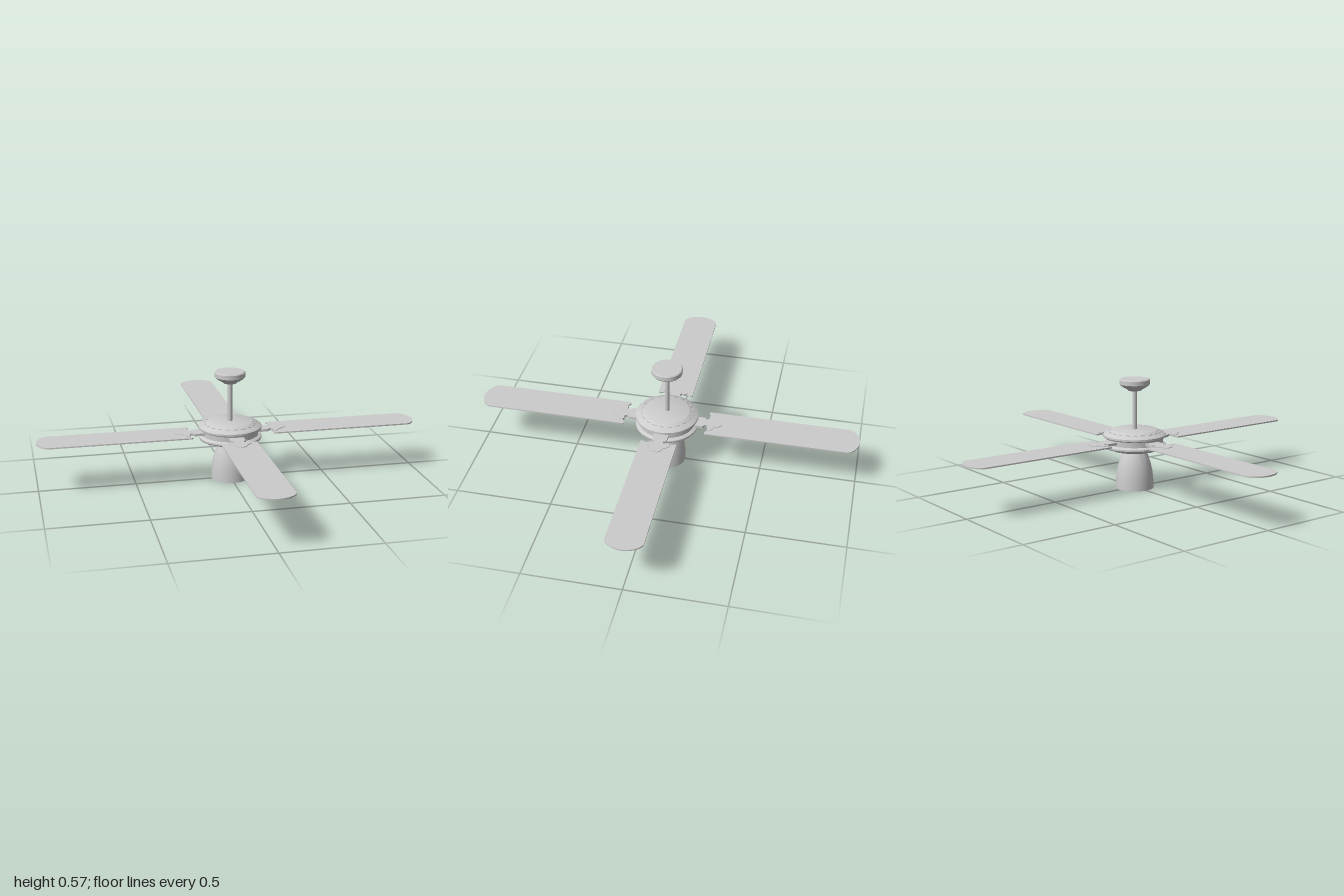
import * as THREE from 'three';
import { toCreasedNormals } from 'three/addons/utils/BufferGeometryUtils.js';

const grey = new THREE.MeshStandardMaterial({ color: 0xcccccc });
const greyDouble = new THREE.MeshStandardMaterial({ color: 0xcccccc, side: THREE.DoubleSide });

function part(name, geometry, material = grey) {
  const mesh = new THREE.Mesh(geometry, material);
  mesh.name = name;
  return mesh;
}

// Turned part from [radius, y] pairs, listed bottom to top
function turned(name, profile, segments = 48, material = grey) {
  const points = profile.map(([r, y]) => new THREE.Vector2(r, y));
  return part(name, toCreasedNormals(new THREE.LatheGeometry(points, segments), 0.5), material);
}

// Flat plate lying in the xz plane, from y to y + thickness
function plate(name, shape, y, thickness) {
  const geometry = new THREE.ExtrudeGeometry(shape, { depth: thickness, bevelEnabled: false, curveSegments: 10 });
  geometry.rotateX(-Math.PI / 2).translate(0, y, 0);
  return part(name, toCreasedNormals(geometry, 0.5));
}

// Blade outline with a bowed tip and a shallow V at the root
function bladeShape() {
  const s = new THREE.Shape();
  s.moveTo(0.232, -0.045);
  s.lineTo(0.212, -0.08);
  s.quadraticCurveTo(0.208, -0.093, 0.222, -0.093);
  s.lineTo(0.945, -0.093);
  s.bezierCurveTo(0.975, -0.085, 1, -0.04, 1, 0);
  s.bezierCurveTo(1, 0.04, 0.975, 0.085, 0.945, 0.093);
  s.lineTo(0.222, 0.093);
  s.quadraticCurveTo(0.208, 0.093, 0.212, 0.08);
  s.lineTo(0.232, 0.045);
  s.closePath();
  return s;
}

// Blade iron: straight neck, waist and a pointed spade head
function ironShape() {
  const half = [[0.13, 0.038], [0.195, 0.038], [0.202, 0.026], [0.212, 0.024], [0.22, 0.034],
    [0.218, 0.05], [0.226, 0.062], [0.24, 0.06], [0.256, 0.036], [0.282, 0.022], [0.29, 0.01]];
  const mirrored = half.map(([x, z]) => [x, -z]).reverse();
  return new THREE.Shape([...mirrored, ...half].map(([x, z]) => new THREE.Vector2(x, z)));
}

// Spiral lamp tube
function spiralCurve(turns, radius, bottom, top) {
  const points = [];
  for (let i = 0; i <= turns * 12; i++) {
    const t = i / (turns * 12);
    const a = t * turns * Math.PI * 2;
    const r = radius * (0.55 + 0.45 * Math.min(1, t * 3));
    points.push(new THREE.Vector3(Math.cos(a) * r, bottom + (top - bottom) * t, Math.sin(a) * r));
  }
  return new THREE.CatmullRomCurve3(points);
}

export function createModel() {
  const fan = new THREE.Group();
  fan.name = 'ceilingFan';

  // Ceiling canopy and down rod
  fan.add(turned('canopy', [[0, 0.514], [0.034, 0.514], [0.042, 0.522], [0.058, 0.53], [0.072, 0.54],
    [0.079, 0.548], [0.079, 0.57], [0.075, 0.575], [0, 0.575]]));
  const rod = part('downRod', new THREE.CylinderGeometry(0.012, 0.012, 0.24, 24));
  rod.position.y = 0.41;
  fan.add(rod);

  // Motor housing with a recessed band where the irons enter
  fan.add(turned('motorHousing', [[0, 0.2], [0.105, 0.2], [0.125, 0.205], [0.14, 0.213], [0.16, 0.218],
    [0.164, 0.224], [0.164, 0.232], [0.158, 0.237], [0.147, 0.24], [0.147, 0.268], [0.158, 0.27],
    [0.164, 0.275], [0.164, 0.285], [0.156, 0.292], [0.13, 0.3], [0.122, 0.308], [0.115, 0.311],
    [0, 0.311]], 64));

  // Ring of small vents around the top of the housing
  const vents = new THREE.Group();
  vents.name = 'vents';
  for (let i = 0; i < 20; i++) {
    const a = (i / 20) * Math.PI * 2;
    const vent = part('vent', new THREE.BoxGeometry(0.005, 0.004, 0.022));
    vent.position.set(Math.cos(a) * 0.132, 0.3, Math.sin(a) * 0.132);
    vent.rotation.y = -a;
    vents.add(vent);
  }
  fan.add(vents);

  // Four blades with their irons
  for (let i = 0; i < 4; i++) {
    const arm = new THREE.Group();
    arm.name = 'bladeArm';
    arm.add(plate('blade', bladeShape(), 0.252, 0.007));
    arm.add(plate('bladeIron', ironShape(), 0.249, 0.013));
    arm.rotation.y = (i * Math.PI) / 2;
    fan.add(arm);
  }

  // Bell-shaped lamp shade with wall thickness
  fan.add(turned('lampShade', [[0.045, 0.198], [0.06, 0.17], [0.075, 0.13], [0.084, 0.09], [0.088, 0.045],
    [0.089, 0], [0.099, 0], [0.098, 0.045], [0.093, 0.09], [0.083, 0.135], [0.069, 0.175], [0.055, 0.202]],
    48, greyDouble));

  // Lamp socket and spiral bulb
  fan.add(turned('lampSocket', [[0, 0.105], [0.024, 0.105], [0.03, 0.115], [0.03, 0.14], [0.02, 0.15],
    [0.02, 0.202]], 24));
  fan.add(part('spiralBulb', new THREE.TubeGeometry(spiralCurve(3, 0.029, 0.04, 0.108), 108, 0.008, 10)));

  return fan;
}
